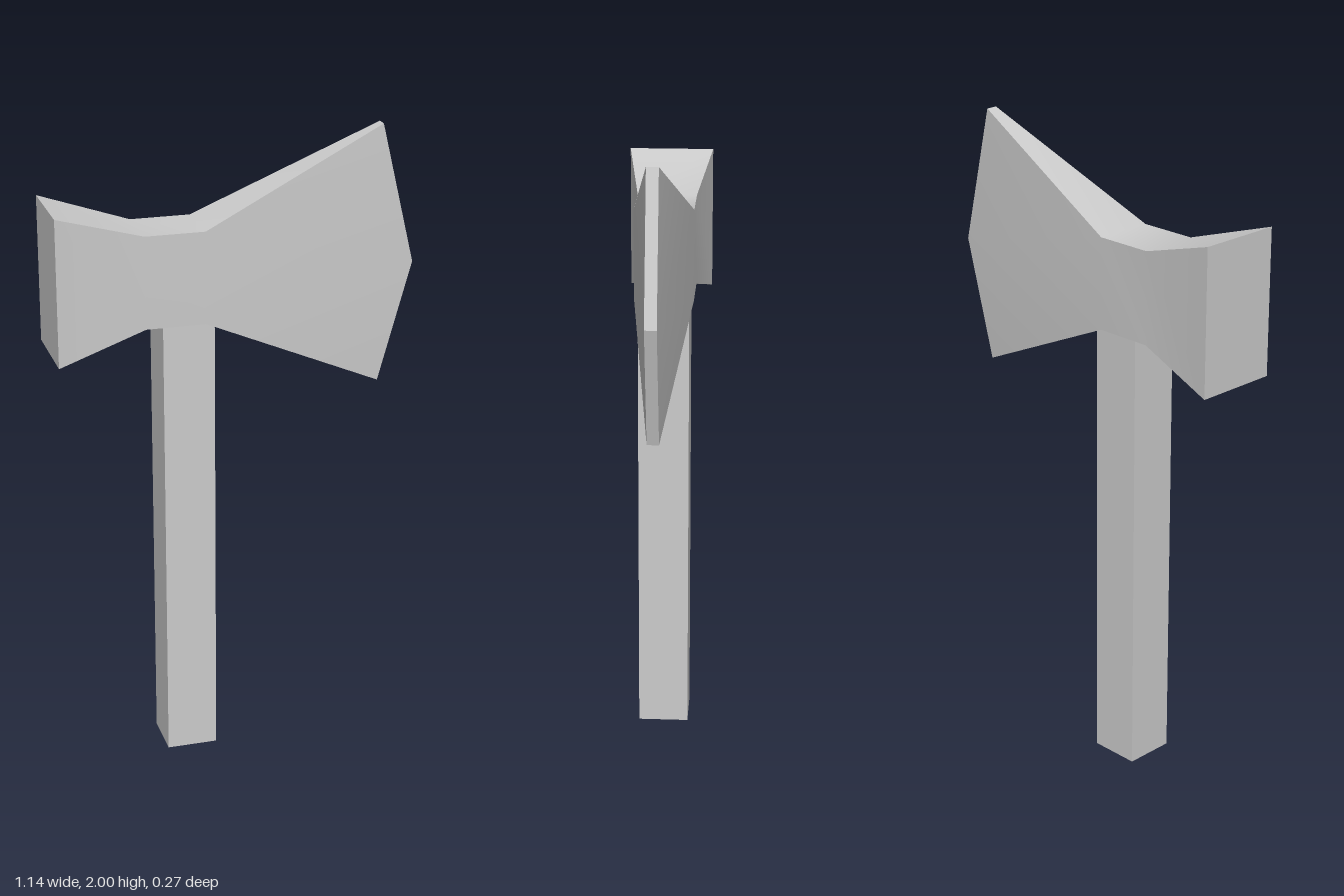
import * as THREE from 'three';
import { toCreasedNormals } from 'three/addons/utils/BufferGeometryUtils.js';

// Axe head: rectangular sections along x, closed by a pointed cutting edge
function headGeometry() {
  // x, bottom y, top y, half thickness
  const sections = [
    [-0.57, 1.363, 1.818, 0.134],
    [-0.295, 1.445, 1.733, 0.093],
    [-0.11, 1.445, 1.733, 0.093],
    [0.465, 1.18, 2.0, 0.018],
  ];
  const positions = [];
  for (const [x, lo, hi, z] of sections) {
    positions.push(x, lo, -z, x, hi, -z, x, hi, z, x, lo, z);
  }
  const last = sections.length - 1;
  const tipBack = sections.length * 4, tipFront = tipBack + 1;
  positions.push(0.57, 1.56, -0.018, 0.57, 1.56, 0.018);

  const index = [];
  const quad = (a, b, c, d) => index.push(a, b, c, a, c, d);

  quad(0, 3, 2, 1); // flat poll
  for (let s = 0; s < last; s++) {
    const a = s * 4, b = a + 4;
    for (let i = 0; i < 4; i++) {
      const j = (i + 1) % 4;
      if (s === last - 1 && i % 2 === 0) {
        // blade cheek fans out to the tip
        const tip = i === 0 ? tipBack : tipFront;
        index.push(a + i, a + j, tip, a + j, b + j, tip, b + i, a + i, tip);
      } else {
        quad(a + i, a + j, b + j, b + i);
      }
    }
  }
  // narrow cutting edge, upper and lower halves
  const e = last * 4;
  quad(e + 1, e + 2, tipFront, tipBack);
  quad(tipBack, tipFront, e + 3, e);

  const geometry = new THREE.BufferGeometry();
  geometry.setAttribute('position', new THREE.Float32BufferAttribute(positions, 3));
  geometry.setIndex(index);
  return toCreasedNormals(geometry, 0.5);
}

export function createModel() {
  const group = new THREE.Group();
  group.name = 'axe';
  const material = new THREE.MeshStandardMaterial({ color: 0xcccccc });

  const head = new THREE.Mesh(headGeometry(), material);
  head.name = 'axeHead';

  // Square handle, ending inside the head
  const height = 1.6;
  const handle = new THREE.Mesh(new THREE.BoxGeometry(0.16, height, 0.16), material);
  handle.name = 'handle';
  handle.position.set(-0.16, height / 2, 0);

  group.add(head, handle);
  return group;
}
